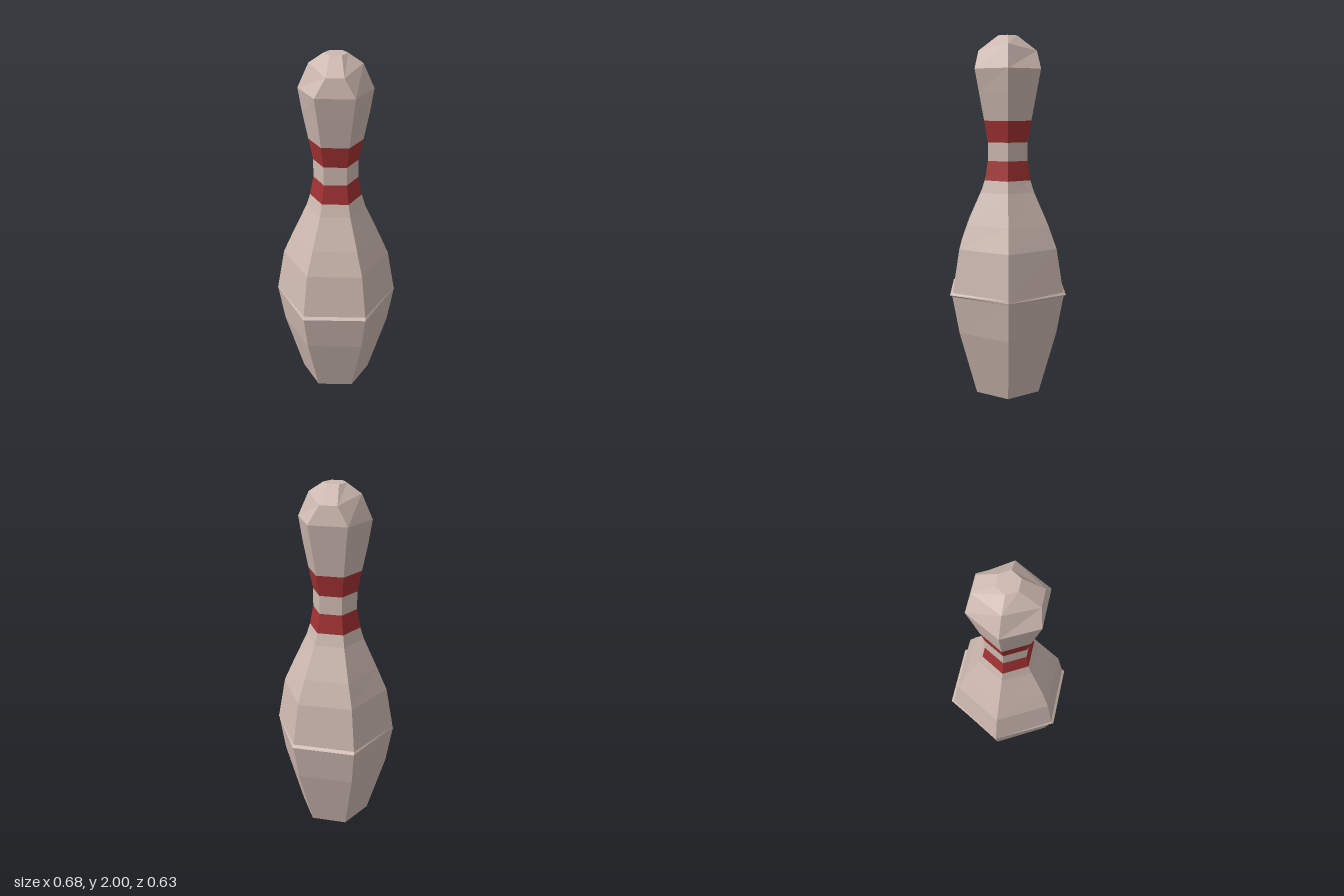
import * as THREE from 'three';

const white = new THREE.MeshStandardMaterial({ color: 0xcdb9b0 });
white.name = 'warm white';
const red = new THREE.MeshStandardMaterial({ color: 0xa33233 });
red.name = 'stripe red';

// Six-sided ring: side points at +-r, four corners at (+-cx, +-cz), corners may sit lower than the sides
const ring = (y, r, cz, cx = r / 2, cornerY = y) => [
  [cx, cornerY, cz], [r, y, 0], [cx, cornerY, -cz],
  [-cx, cornerY, -cz], [-r, y, 0], [-cx, cornerY, cz],
];

// Skin a stack of rings, with optional flat caps
function skin(name, rings, material, capBottom = false, capTop = false) {
  const p = [];
  const tri = (a, b, c) => p.push(...a, ...b, ...c);
  for (let k = 0; k < rings.length - 1; k++) {
    for (let i = 0; i < 6; i++) {
      const j = (i + 1) % 6, lo = rings[k], hi = rings[k + 1];
      tri(lo[i], lo[j], hi[j]);
      tri(lo[i], hi[j], hi[i]);
    }
  }
  for (let i = 1; i < 5; i++) {
    const b = rings[0], t = rings[rings.length - 1];
    if (capBottom) tri(b[0], b[i + 1], b[i]);
    if (capTop) tri(t[0], t[i], t[i + 1]);
  }
  const g = new THREE.BufferGeometry();
  g.setAttribute('position', new THREE.Float32BufferAttribute(p, 3));
  g.computeVertexNormals(); // unshared corners give flat facets
  const mesh = new THREE.Mesh(g, material);
  mesh.name = name;
  return mesh;
}

export function createModel() {
  const group = new THREE.Group();
  group.name = 'bowlingPin';

  // Rings shared between neighbouring colours
  const s1 = ring(1.235, 0.14, 0.123), s2 = ring(1.34, 0.12, 0.108);
  const s3 = ring(1.44, 0.12, 0.107), s4 = ring(1.555, 0.143, 0.126);

  group.add(
    // Belly, with a fine ridge at its widest point
    skin('body', [
      ring(0, 0.13, 0.118), ring(0.03, 0.2, 0.175), ring(0.4, 0.305, 0.267),
      ring(0.61, 0.338, 0.302), ring(0.62, 0.341, 0.315), ring(0.633, 0.338, 0.3),
      ring(0.87, 0.295, 0.263), ring(1.0, 0.238, 0.217), ring(1.17, 0.16, 0.143), s1,
    ], white, true),
    skin('lowerStripe', [s1, s2], red),
    skin('neck', [s2, s3], white),
    skin('upperStripe', [s3, s4], red),
    // Rounded head
    skin('head', [
      s4, ring(1.7, 0.172, 0.152), ring(1.825, 0.192, 0.174, 0.1),
      ring(1.95, 0.135, 0.155, 0.045, 1.92), ring(2.0, 0.06, 0.05, 0.03),
    ], white, false, true),
  );
  return group;
}
